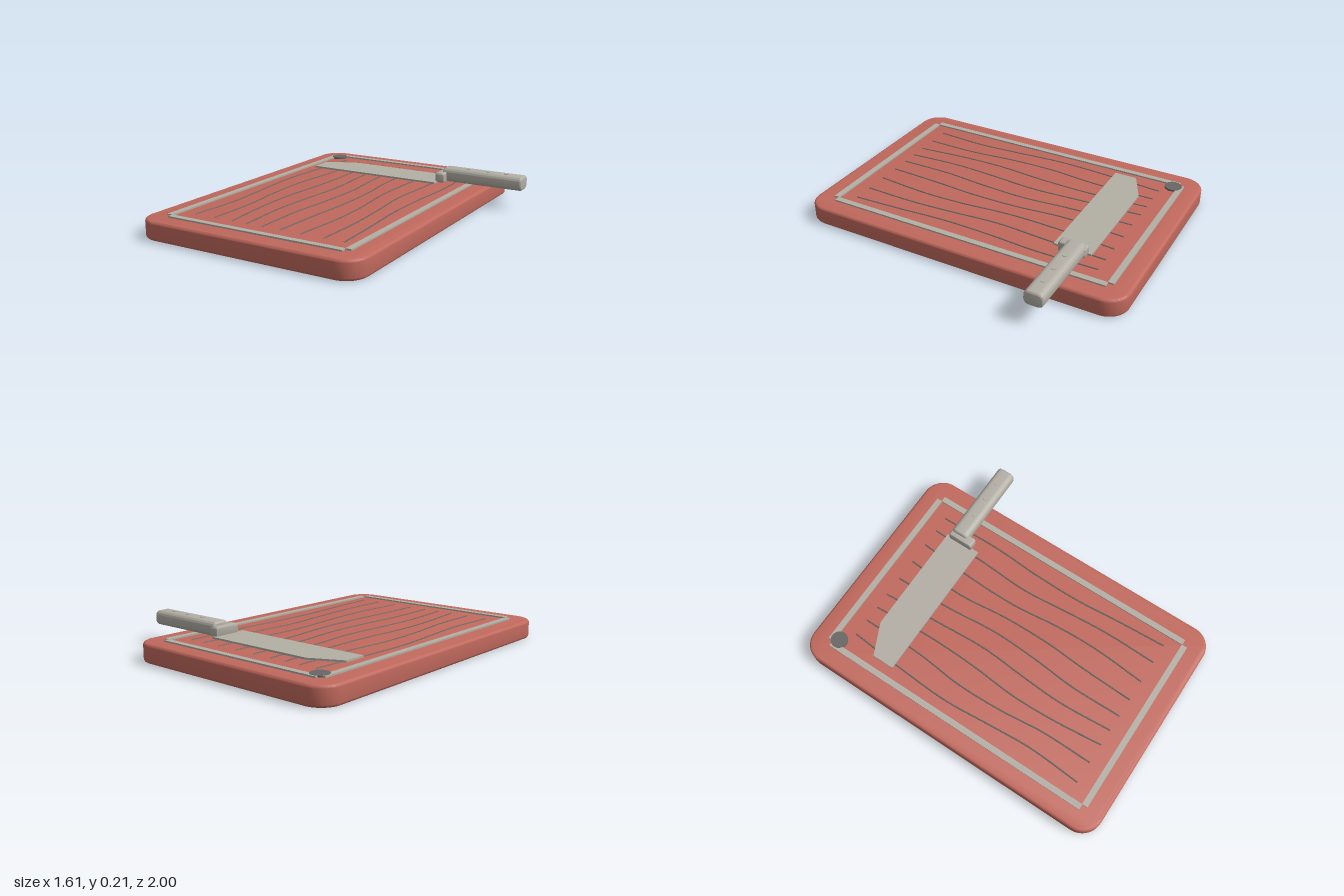
import * as THREE from 'three';
import { toCreasedNormals } from 'three/addons/utils/BufferGeometryUtils.js';

const mat = (name, color) => {
  const m = new THREE.MeshStandardMaterial({ color });
  m.name = name;
  return m;
};

// Rounded rectangle centred on the origin
function roundedRect(w, h, r) {
  const s = new THREE.Shape();
  const x = w / 2 - r, y = h / 2 - r;
  s.absarc(x, y, r, 0, Math.PI / 2);
  s.absarc(-x, y, r, Math.PI / 2, Math.PI);
  s.absarc(-x, -y, r, Math.PI, Math.PI * 1.5);
  s.absarc(x, -y, r, Math.PI * 1.5, Math.PI * 2);
  s.closePath();
  return s;
}

// Rounded block of full size w x h x depth, extruded along z from 0
function roundedBlock(w, h, depth, r, bevel) {
  const g = new THREE.ExtrudeGeometry(roundedRect(w - 2 * bevel, h - 2 * bevel, r - bevel), {
    depth: depth - 2 * bevel, bevelSize: bevel, bevelThickness: bevel, bevelSegments: 4, curveSegments: 10,
  });
  g.translate(0, 0, bevel);
  return toCreasedNormals(g, 0.6);
}

export function createModel() {
  const root = new THREE.Group();
  const red = mat('boardRed', 0xc1695d);
  const steel = mat('paleGrey', 0xb3afa5);
  const dark = mat('darkGrey', 0x686765);

  const add = (parent, name, geometry, material, x = 0, y = 0, z = 0) => {
    const m = new THREE.Mesh(geometry, material);
    m.name = name;
    m.position.set(x, y, z);
    parent.add(m);
    return m;
  };

  // Cutting board slab
  const board = roundedBlock(1.39, 2, 0.11, 0.125, 0.016);
  board.rotateX(-Math.PI / 2);
  add(root, 'board', board, red, -0.115, 0, 0);

  // Juice groove border, four separate strips
  const groove = new THREE.Group();
  groove.name = 'juiceGroove';
  root.add(groove);
  for (const s of [-1, 1]) {
    add(groove, 'grooveSide', new THREE.BoxGeometry(0.035, 0.012, 1.73), steel, -0.115 + s * 0.5725, 0.113, -0.003);
    add(groove, 'grooveEnd', new THREE.BoxGeometry(1.11, 0.012, 0.035), steel, -0.115, 0.113, -0.003 + s * 0.88);
  }

  // Hanging hole disc
  add(root, 'hangingHole', new THREE.CylinderGeometry(0.051, 0.051, 0.014, 32), dark, -0.645, 0.114, -0.84);

  // Wavy wood grain: x of each line at the listed z stations
  const grain = new THREE.Group();
  grain.name = 'woodGrain';
  root.add(grain);
  const stations = [-0.78, -0.4, -0.1, 0.2, 0.45, 0.775];
  const lines = [
    [-0.56, -0.59, -0.602, -0.58, -0.565, -0.582],
    [-0.455, -0.455, -0.482, -0.475, -0.45, -0.45],
    [-0.355, -0.335, -0.342, -0.365, -0.36, -0.33],
    [-0.255, -0.232, -0.217, -0.238, -0.25, -0.23],
    [-0.13, -0.122, -0.098, -0.11, -0.132, -0.13],
    [0.005, -0.015, 0.012, 0.015, -0.002, -0.015],
    [0.14, 0.11, 0.107, 0.135, 0.14, 0.115],
    [0.255, 0.238, 0.222, 0.245, 0.26, 0.255],
    [0.355, 0.362, 0.345, 0.342, 0.36, 0.377],
  ];
  for (const xs of lines) {
    const path = new THREE.CatmullRomCurve3(xs.map((x, i) => new THREE.Vector3(x, 0.11, stations[i])));
    add(grain, 'grainLine', new THREE.TubeGeometry(path, 40, 0.005, 6), dark);
  }

  // Knife
  const knife = new THREE.Group();
  knife.name = 'knife';
  root.add(knife);

  // Flat blade with a clipped tip
  const outline = [[-0.615, 0.475], [0.27, 0.475], [0.27, 0.7], [-0.425, 0.7], [-0.615, 0.61]];
  const blade = new THREE.ExtrudeGeometry(
    new THREE.Shape(outline.map(([x, y]) => new THREE.Vector2(x, y))), { depth: 0.011, bevelEnabled: false });
  blade.rotateX(-Math.PI / 2);
  add(knife, 'blade', blade, steel, 0, 0.117, 0);

  // Bolster
  const bolster = roundedBlock(0.16, 0.062, 0.06, 0.014, 0.008);
  bolster.rotateY(Math.PI / 2);
  add(knife, 'bolster', bolster, steel, 0.255, 0.149, -0.6);

  // Handle, rounded along its length
  const handle = roundedBlock(0.114, 0.086, 0.52, 0.032, 0.014);
  handle.rotateY(Math.PI / 2);
  add(knife, 'handle', handle, steel, 0.284, 0.16, -0.62);

  // Rivets through the handle
  for (const x of [0.44, 0.57, 0.69]) {
    add(knife, 'rivet', new THREE.CylinderGeometry(0.015, 0.015, 0.092, 16), steel, x, 0.16, -0.62);
  }
  return root;
}
